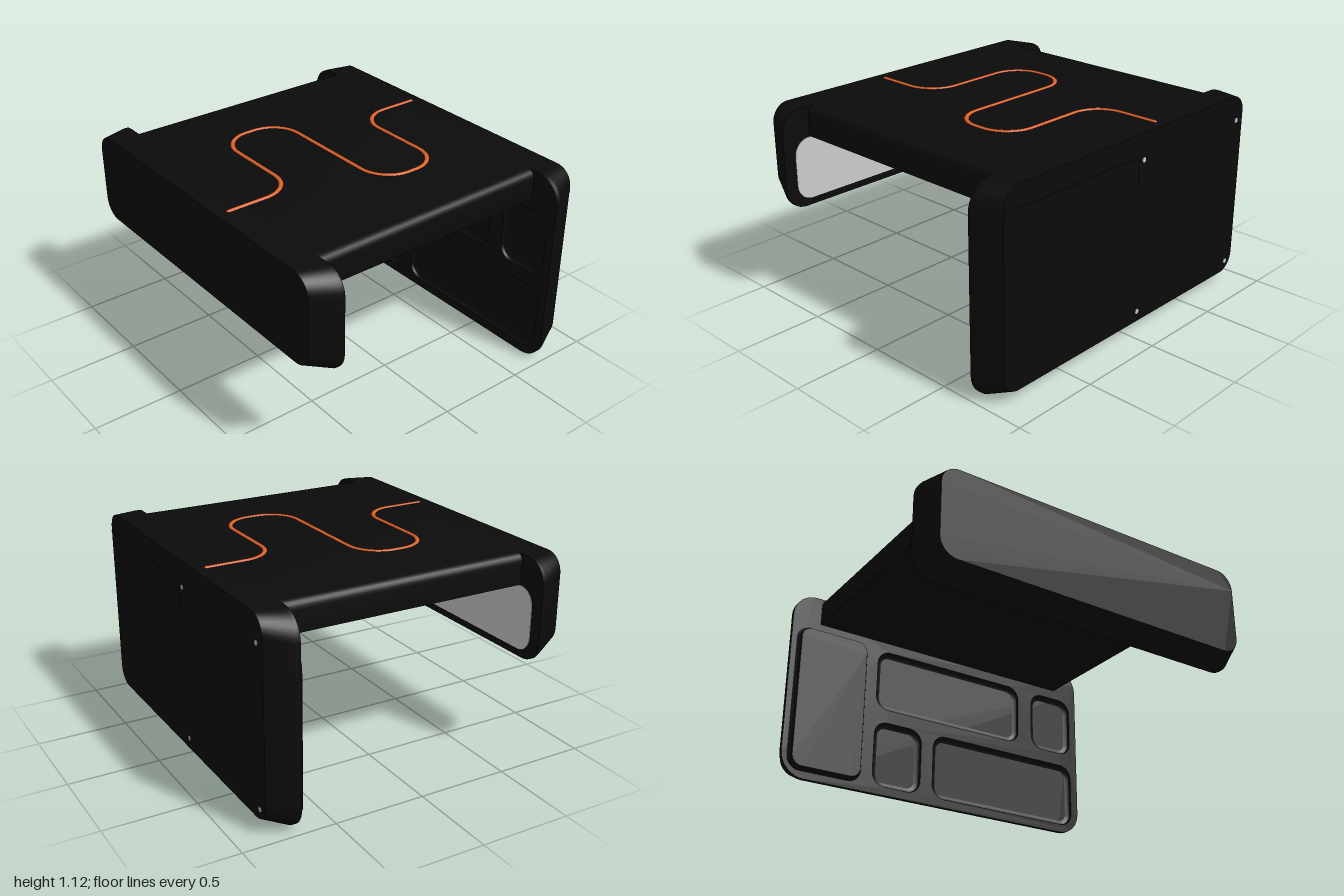
import * as THREE from 'three';
import { toCreasedNormals } from 'three/addons/utils/BufferGeometryUtils.js';

const black = new THREE.MeshStandardMaterial({ color: 0x0b0b0b });
const orange = new THREE.MeshStandardMaterial({ color: 0xe0622a });
const grey = new THREE.MeshStandardMaterial({ color: 0xcccccc });
const TOP = 1.112;

// Counter-clockwise outline of a rounded rectangle
function outline(x0, x1, y0, y1, r, grow = 0) {
  x0 -= grow; x1 += grow; y0 -= grow; y1 += grow; r = Math.max(r + grow, 0.005);
  const centres = [[x1 - r, y1 - r], [x0 + r, y1 - r], [x0 + r, y0 + r], [x1 - r, y0 + r]];
  const pts = [];
  centres.forEach(([cx, cy], k) => {
    for (let i = 0; i <= 8; i++) {
      const a = (k + i / 8) * Math.PI / 2;
      pts.push(new THREE.Vector2(cx + r * Math.cos(a), cy + r * Math.sin(a)));
    }
  });
  return pts;
}

// Skin over matching outlines at successive depths: [[points, z], ...]
function loft(sections, capped = true) {
  const pos = [], n = sections[0][0].length;
  const put = (s, i) => { const p = sections[s][0][i % n]; pos.push(p.x, p.y, sections[s][1]); };
  for (let s = 0; s < sections.length - 1; s++) {
    for (let i = 0; i < n; i++) {
      put(s, i); put(s, i + 1); put(s + 1, i + 1);
      put(s, i); put(s + 1, i + 1); put(s + 1, i);
    }
  }
  if (capped) {
    const last = sections.length - 1;
    for (let i = 1; i < n - 1; i++) {
      put(last, 0); put(last, i); put(last, i + 1);
      put(0, 0); put(0, i + 1); put(0, i);
    }
  }
  const g = new THREE.BufferGeometry();
  g.setAttribute('position', new THREE.Float32BufferAttribute(pos, 3));
  return toCreasedNormals(g, 0.5);
}

export function createModel() {
  const model = new THREE.Group();
  const add = (name, geometry, material = black) => {
    const m = new THREE.Mesh(geometry, material);
    m.name = name;
    model.add(m);
    return m;
  };

  // Bridge deck with softened long upper edges
  const w = 0.83, r = 0.05;
  const deck = new THREE.Shape();
  deck.moveTo(-w, 0.948);
  deck.lineTo(w, 0.948);
  deck.lineTo(w, TOP - r);
  deck.quadraticCurveTo(w, TOP, w - r, TOP);
  deck.lineTo(-w + r, TOP);
  deck.quadraticCurveTo(-w, TOP, -w, TOP - r);
  const deckGeometry = new THREE.ExtrudeGeometry(deck, { depth: 1.38, bevelEnabled: false, curveSegments: 6 });
  add('deck', toCreasedNormals(deckGeometry.translate(0, 0, -0.69), 0.5));

  // Front plate, chamfered at the sides and bottom
  const frontRim = outline(-1, 1, 0.56, TOP, 0.12);
  add('frontPlate', loft([
    [frontRim, 0.685], [frontRim, 0.705],
    [outline(-0.94, 0.94, 0.615, TOP, 0.1), 0.845],
  ]));
  const insert = outline(-0.93, 0.93, 0.6, 0.945, 0.09);
  add('frontInnerPanel', loft([[insert, 0.682], [insert, 0.69]]), grey);

  // Back plate: chamfered shell plus an inner layer with pockets
  const backRim = outline(-1, 1, 0, TOP, 0.14);
  add('backPlate', loft([
    [outline(-0.94, 0.94, 0.06, TOP, 0.1), -0.845],
    [backRim, -0.71],
  ]));
  const pockets = [
    [-0.45, -0.14, 0.05, 0.44, 0.08],
    [-0.06, 0.95, 0.05, 0.44, 0.08],
    [-0.45, 0.55, 0.52, 0.89, 0.08],
    [0.65, 0.95, 0.52, 0.89, 0.08],
  ];
  const layer = new THREE.Shape(backRim);
  pockets.forEach((p) => layer.holes.push(new THREE.Path(outline(...p))));
  const layerGeometry = new THREE.ExtrudeGeometry(layer, { depth: 0.025, bevelEnabled: false });
  add('backInnerLayer', toCreasedNormals(layerGeometry.translate(0, 0, -0.71), 0.5));

  // Coved pocket walls
  pockets.forEach((p) => add('pocketWall', loft([
    [outline(...p), -0.685],
    [outline(...p, -0.006), -0.699],
    [outline(...p, -0.016), -0.706],
    [outline(...p, -0.03), -0.71],
  ], false)));

  // Raised inner panel with a coved border
  const raised = [-0.95, -0.54, 0.06, 0.89, 0.06];
  add('raisedPanel', loft([
    [outline(...raised, 0.02), -0.687],
    [outline(...raised, 0.006), -0.678],
    [outline(...raised), -0.668],
    [outline(...raised), -0.652],
  ]));

  // Cover seam and screws on the outer back face
  add('coverSeam', new THREE.BoxGeometry(0.97, 0.012, 0.004)).position.set(0.455, 0.99, -0.845);
  add('coverSeamStep', new THREE.BoxGeometry(0.012, 0.18, 0.004)).position.set(-0.03, 0.906, -0.845);
  for (const x of [-0.88, -0.06]) {
    for (const y of [0.12, 0.97]) {
      const screw = add('screw', new THREE.CylinderGeometry(0.014, 0.014, 0.008, 16), grey);
      screw.rotation.x = Math.PI / 2;
      screw.position.set(x, y, -0.844);
    }
  }

  // Winding inlay: straight runs joined by rounded corners
  const path = new THREE.CurvePath();
  const corners = [
    [-0.225, -0.78], [-0.225, -0.395], [0.44, -0.395], [0.44, -0.005],
    [-0.45, -0.005], [-0.45, 0.385], [0.22, 0.385], [0.22, 0.775],
  ].map(([x, z]) => new THREE.Vector3(x, TOP - 0.005, z));
  const k = 0.4477;
  let from = corners[0];
  for (let i = 1; i < corners.length - 1; i++) {
    const c = corners[i], bend = 0.17;
    const a = c.clone().add(corners[i - 1].clone().sub(c).setLength(bend));
    const b = c.clone().add(corners[i + 1].clone().sub(c).setLength(bend));
    path.add(new THREE.LineCurve3(from, a));
    path.add(new THREE.CubicBezierCurve3(a, c.clone().lerp(a, k), c.clone().lerp(b, k), b));
    from = b;
  }
  path.add(new THREE.LineCurve3(from, corners[corners.length - 1]));
  add('inlay', new THREE.TubeGeometry(path, 240, 0.0135, 12, false), orange);
  for (const p of [corners[0], corners[corners.length - 1]]) {
    add('inlayEnd', new THREE.SphereGeometry(0.0135, 12, 8), orange).position.copy(p);
  }

  return model;
}
